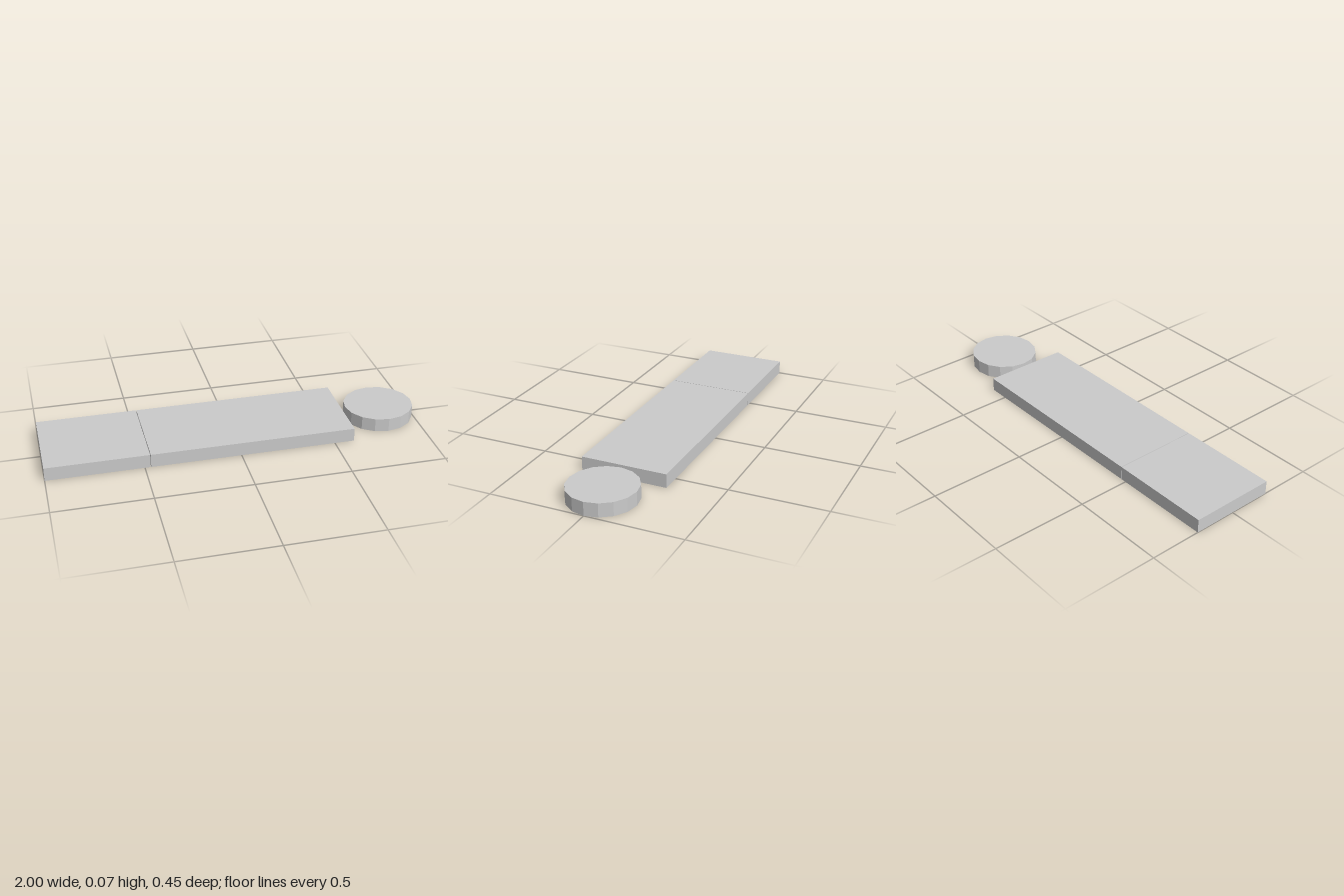
import * as THREE from 'three';

const HEIGHT = 0.072;
const DEPTH = 0.454;

export function createModel() {
  const group = new THREE.Group();
  const material = new THREE.MeshStandardMaterial({ color: 0xcccccc, flatShading: true });

  const add = (name, geometry, x) => {
    const mesh = new THREE.Mesh(geometry, material);
    mesh.name = name;
    mesh.position.set(x, HEIGHT / 2, 0);
    group.add(mesh);
    return mesh;
  };

  // Flat slab spanning x0 to x1
  const slab = (name, x0, x1) =>
    add(name, new THREE.BoxGeometry(x1 - x0, HEIGHT, DEPTH), (x0 + x1) / 2);

  // Two slabs end to end, with a hairline seam between them
  slab('shortSlab', -1, -0.471);
  slab('longSlab', -0.468, 0.604);

  // Sixteen-sided disc, slightly wider than deep
  const disc = add('endDisc', new THREE.CylinderGeometry(1, 1, HEIGHT, 16), 0.814);
  disc.scale.set(0.186, 1, 0.177);

  return group;
}
